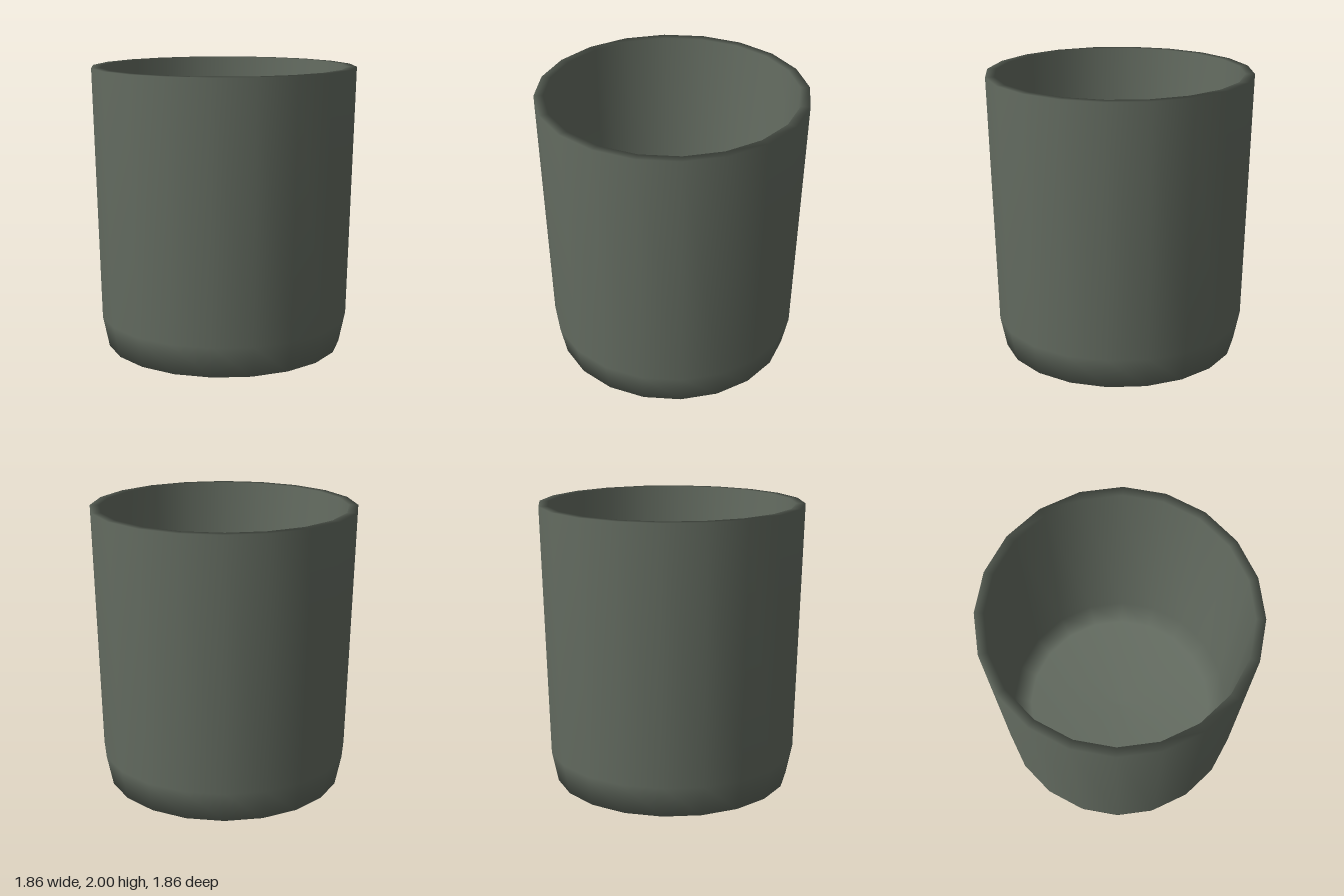
import * as THREE from 'three';

const SIDES = 20;

export function createModel() {
  const group = new THREE.Group();
  group.name = 'cup';
  const material = new THREE.MeshStandardMaterial({ color: 0x636b60 });

  // Closed wall section: underside, outside, rim, inside, floor
  const profile = [
    [0, 0.14], [0.5, 0.11], [0.64, 0], // recess under the base
    [0.845, 0], [0.89, 0.22], [0.932, 2], // foot and tapered outside
    [0.868, 2], [0.82, 0.32], [0.7, 0.22], [0, 0.2], // rim, inside and floor
  ].map(([r, y]) => new THREE.Vector2(r, y));

  const body = new THREE.Mesh(new THREE.LatheGeometry(profile, SIDES), material);
  body.name = 'cupBody';
  group.add(body);
  return group;
}
